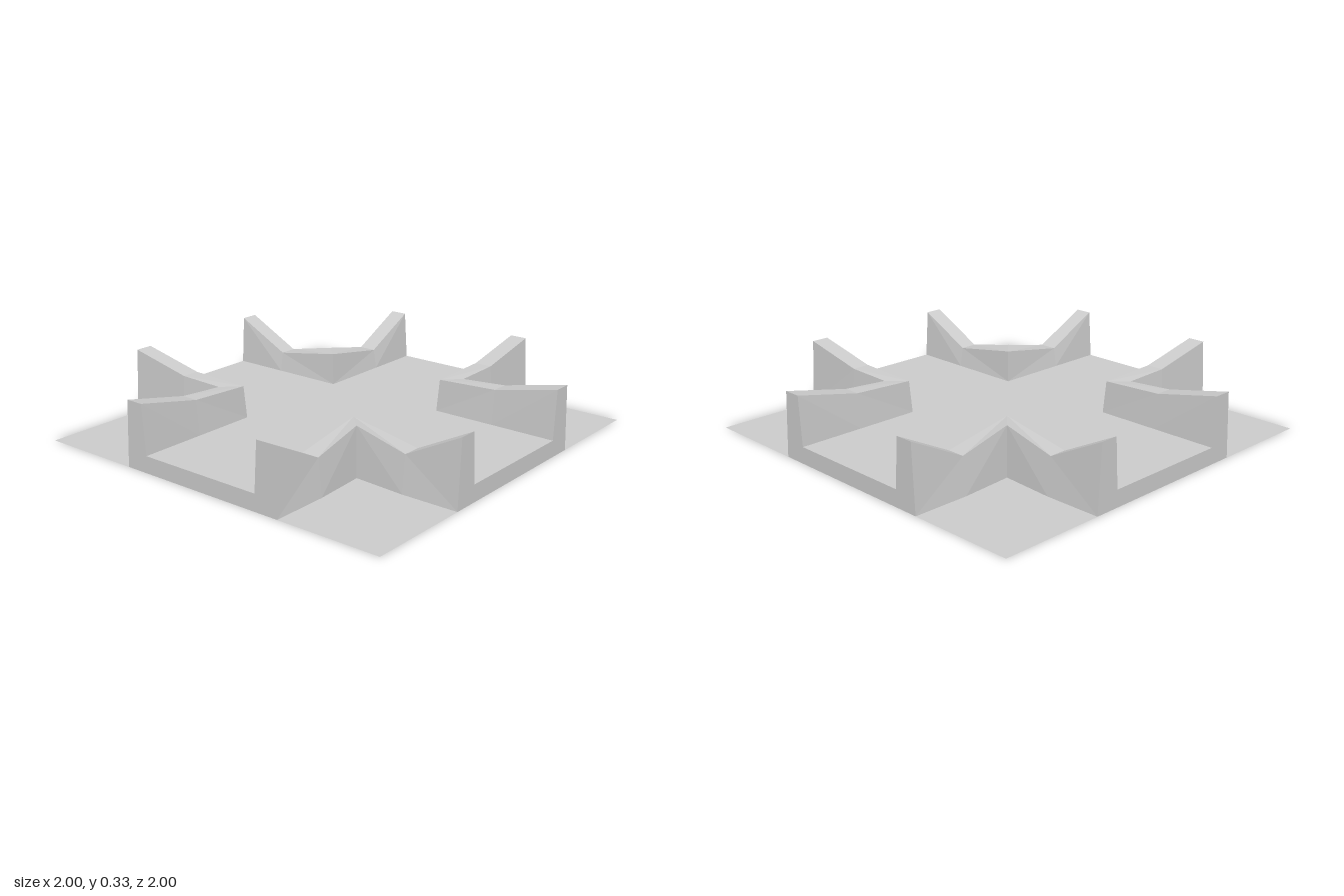
import * as THREE from 'three';

const ROAD_Y = 0.085, END_Y = 0.333, CORNER_Y = 0.248;
const mat = new THREE.MeshStandardMaterial({ color: 0xcccccc, flatShading: true, side: THREE.DoubleSide });

// Sideways offsets of the wall section: inner foot, inner top, outer top, outer foot
const ARM = [0.335, 0.352, 0.442, 0.46];
const CORNER = [0.335, 0.345, 0.43, 0.44];

function add(group, name, geometry) {
  const mesh = new THREE.Mesh(geometry, mat);
  mesh.name = name;
  group.add(mesh);
  return mesh;
}

function polygon(points) {
  return new THREE.ShapeGeometry(new THREE.Shape(points.map(([x, y]) => new THREE.Vector2(x, y))));
}

// Horizontal sheet from [x, z] points, facing up
function sheet(points, y) {
  return polygon(points.map(([x, z]) => [x, -z])).rotateX(-Math.PI / 2).translate(0, y, 0);
}

// L-shaped wall: loft the four-point section from one arm's end, round the corner, to the other's
function wallGeometry(sx, sz, midAlong, midY) {
  const heights = (top) => [ROAD_Y, top, top, 0];
  const arm = (along, top, swap) => ARM.map((o, i) =>
    swap ? [o, heights(top)[i], along] : [along, heights(top)[i], o]);
  const sections = [
    arm(1, END_Y, false),
    arm(midAlong, midY, false),
    CORNER.map((o, i) => [o, heights(CORNER_Y)[i], o]),
    arm(midAlong, midY, true),
    arm(1, END_Y, true),
  ];
  const pos = [], index = [];
  for (const section of sections)
    for (const [x, y, z] of section) pos.push(x * sx, y, z * sz);
  for (let s = 0; s < sections.length - 1; s++) {
    for (let i = 0; i < 3; i++) {
      const a = s * 4 + i, b = a + 1, c = a + 4, d = a + 5;
      // Split symmetrically about the corner; mirrored walls reverse the winding
      const tris = s < 2 ? [[a, c, b], [b, c, d]] : [[a, d, b], [a, c, d]];
      for (const [p, q, r] of tris) sx * sz > 0 ? index.push(p, r, q) : index.push(p, q, r);
    }
  }
  const g = new THREE.BufferGeometry();
  g.setAttribute('position', new THREE.Float32BufferAttribute(pos, 3));
  g.setIndex(index);
  const flat = g.toNonIndexed();
  flat.computeVertexNormals();
  return flat;
}

export function createModel() {
  const model = new THREE.Group();
  model.name = 'crossroads';

  // Raised cross-shaped floor
  const w = ARM[0];
  add(model, 'roadFloor', sheet([
    [w, 1], [w, w], [1, w], [1, -w], [w, -w], [w, -1],
    [-w, -1], [-w, -w], [-1, -w], [-1, w], [-w, w], [-w, 1],
  ], ROAD_Y));

  // Corner ground and walls; two opposite corners have broken, notched walls
  for (const sx of [1, -1]) {
    for (const sz of [1, -1]) {
      const notched = sx !== sz;
      const mid = notched ? 0.71 : 0.66;
      const foot = ARM[3], c = CORNER[3];
      add(model, 'cornerGround', sheet(
        [[1, 1], [1, foot], [mid, foot], [c, c], [foot, mid], [foot, 1]].map(([x, z]) => [x * sx, z * sz]), 0));
      add(model, notched ? 'notchedWall' : 'wall', wallGeometry(sx, sz, mid, notched ? 0.185 : 0.26));
    }
  }

  // End faces closing the four arms, open underneath
  const [a, b, d, e] = ARM;
  const profile = [
    [-e, 0], [e, 0], [d, END_Y], [b, END_Y], [a, ROAD_Y],
    [-a, ROAD_Y], [-b, END_Y], [-d, END_Y],
  ];
  for (let i = 0; i < 4; i++)
    add(model, 'armEnd', polygon(profile).translate(0, 0, 1)).rotation.y = i * Math.PI / 2;

  return model;
}
